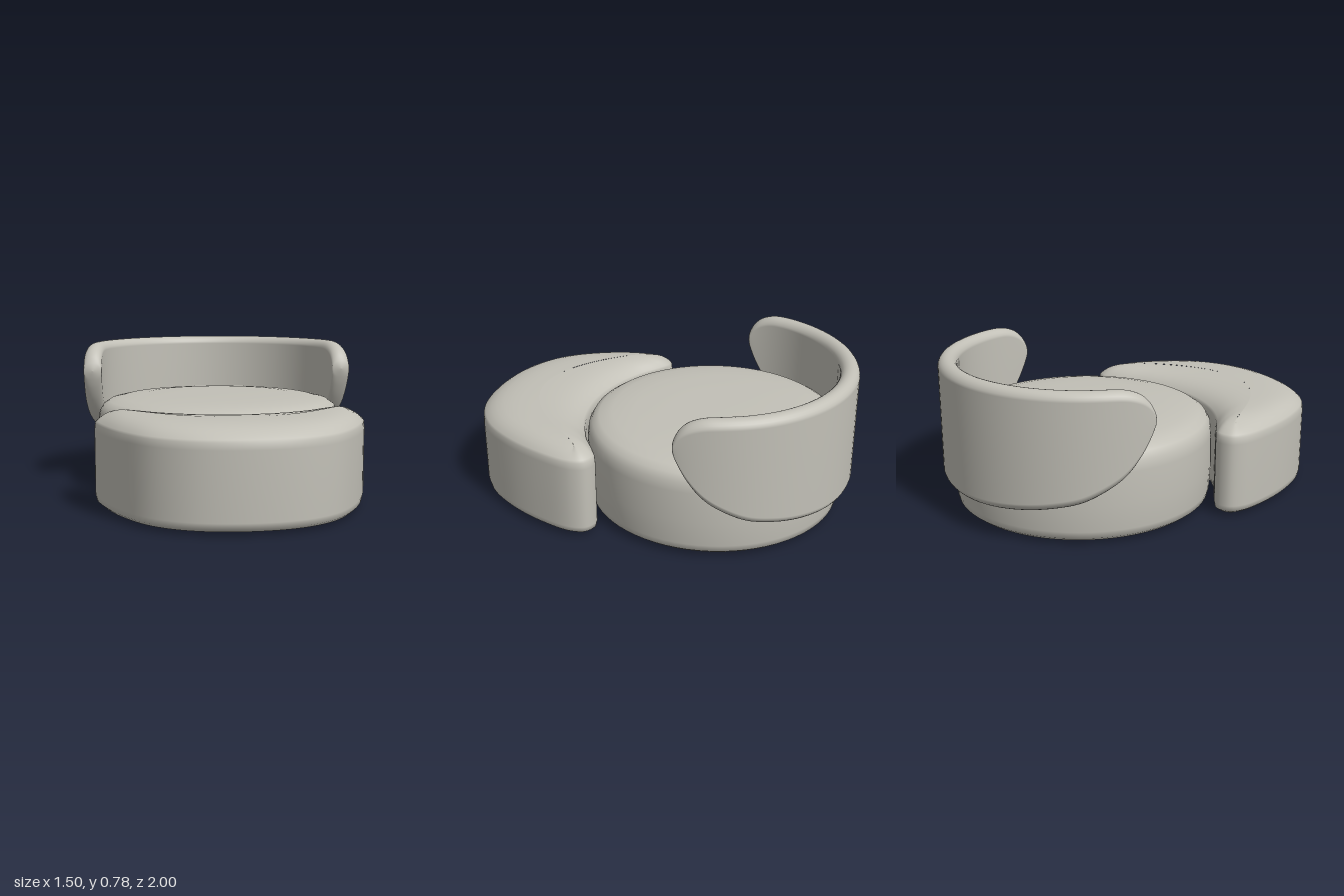
import * as THREE from 'three';

const fabric = new THREE.MeshStandardMaterial({ color: 0xc2c0b7 });
fabric.name = 'warm grey fabric';

function part(name, geometry) {
  const mesh = new THREE.Mesh(geometry, fabric);
  mesh.name = name;
  return mesh;
}

// Skin a list of closed loops that all have the same number of points
function loft(loops) {
  const n = loops[0].length;
  const index = [];
  for (let i = 0; i < loops.length - 1; i++) {
    for (let j = 0; j < n; j++) {
      const k = (j + 1) % n;
      const a = i * n + j, b = i * n + k, c = a + n, d = b + n;
      index.push(a, b, d, a, d, c);
    }
  }
  const g = new THREE.BufferGeometry().setFromPoints(loops.flat());
  g.setIndex(index);
  g.computeVertexNormals();
  return g;
}

// Round cushion with a softly domed top
function makeSeat() {
  const profile = [
    [0, 0], [0.3, 0.002], [0.59, 0.008], [0.635, 0.015], [0.66, 0.035], [0.668, 0.07],
    [0.675, 0.2], [0.672, 0.36], [0.665, 0.41], [0.645, 0.445], [0.61, 0.468],
    [0.54, 0.484], [0.42, 0.495], [0.22, 0.5], [0, 0.5],
  ].map(([r, y]) => new THREE.Vector2(r, y));
  const mesh = part('roundSeat', new THREE.LatheGeometry(profile, 72));
  mesh.position.z = -0.27;
  return mesh;
}

// Crescent footstool hugging the front of the seat
function makeFootstool() {
  const half = [[0.25, 0.96], [0.43, 0.85], [0.56, 0.67], [0.65, 0.46], [0.69, 0.28],
    [0.667, 0.2], [0.6, 0.17], [0.53, 0.205], [0.4, 0.295], [0.22, 0.37]];
  const mirrored = half.map(([x, z]) => [-x, z]).reverse();
  const points = [[0, 1], ...half, [0, 0.4], ...mirrored]
    .map(([x, z]) => new THREE.Vector3(x, 0, z));
  const outline = new THREE.CatmullRomCurve3(points, true).getPoints(120).slice(0, -1);

  // Each outline point moves towards a curved spine as the loops close in
  const ring = (inset, height) => outline.map((p) => {
    const sx = p.x * 0.86;
    const spine = new THREE.Vector3(sx, 0, 0.7 - 1.2 * sx * sx);
    const distance = p.distanceTo(spine);
    const move = Math.min(inset, distance);
    const q = p.clone().lerp(spine, move / distance);
    q.y = height(move);
    return q;
  });
  const dome = (w) => 0.42 + 0.08 * (1 - Math.exp(-w / 0.07));
  const loops = [
    ring(1, () => 0.008), ring(0.06, () => 0.01), ring(0.03, () => 0.015),
    ring(0.008, () => 0.03), ring(0, () => 0.06), ring(0, () => 0.39),
  ];
  for (const w of [0.004, 0.015, 0.03, 0.05, 0.08, 0.12, 0.17, 0.22, 0.27, 1]) loops.push(ring(w, dome));
  return part('crescentFootstool', loft(loops));
}

// Curved backrest whose lower edge sweeps up to rounded ends
function makeBackrest() {
  // angle from the back in degrees, lower edge, upper edge
  const keys = [[0, 0.15, 0.78], [20, 0.157, 0.78], [38, 0.18, 0.78], [50, 0.205, 0.78],
    [60, 0.235, 0.78], [69, 0.29, 0.78], [75, 0.34, 0.777], [79, 0.39, 0.767],
    [83, 0.46, 0.745], [86, 0.53, 0.71], [87.6, 0.58, 0.675], [88.3, 0.61, 0.65], [88.6, 0.63, 0.63]];
  const stations = [...keys.slice(1).map(([a, b, t]) => [-a, b, t]).reverse(), ...keys];
  const path = new THREE.CatmullRomCurve3(
    stations.map(([a, b, t]) => new THREE.Vector3(a / 100, b, t)), false, 'centripetal');
  const loops = [];
  const sides = 24, steps = 144;
  for (let i = 0; i <= steps; i++) {
    const s = path.getPoint(i / steps);
    const angle = THREE.MathUtils.degToRad(s.x * 100);
    const corner = Math.max(0, Math.min(0.05, (s.z - s.y) / 2));
    const loop = [];
    for (let k = 0; k < sides; k++) {
      const phi = ((k + 0.5) / sides) * Math.PI * 2;
      const r = 0.702 + corner * Math.cos(phi);
      const y = (Math.sin(phi) > 0 ? s.z - corner : s.y + corner) + corner * Math.sin(phi);
      loop.push(new THREE.Vector3(r * Math.sin(angle), y, -0.25 - r * Math.cos(angle)));
    }
    loops.push(loop);
  }
  return part('curvedBackrest', loft(loops));
}

export function createModel() {
  const model = new THREE.Group();
  model.name = 'loungeSeat';
  model.add(makeSeat(), makeFootstool(), makeBackrest());
  return model;
}
